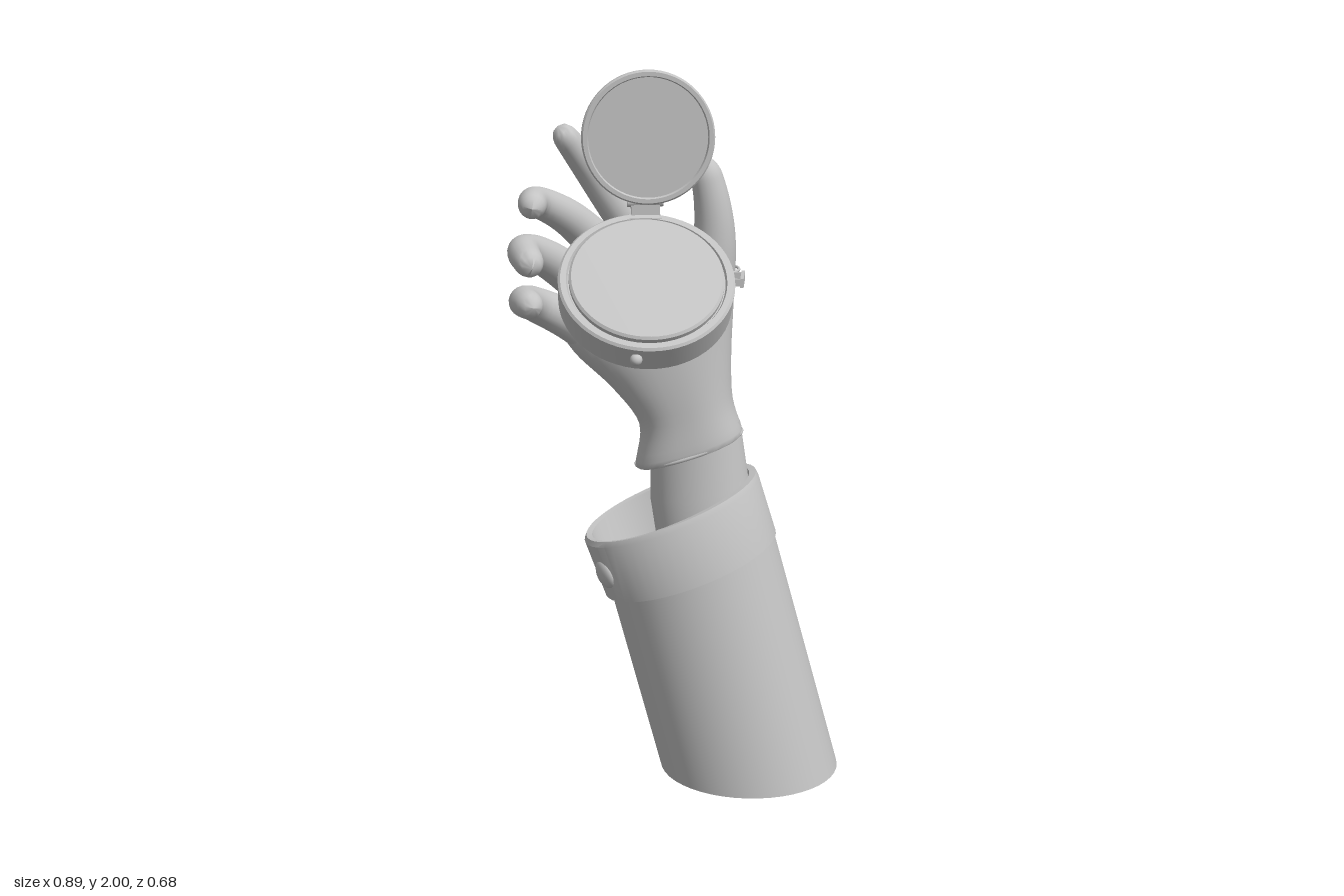
import * as THREE from 'three';
import { toCreasedNormals } from 'three/addons/utils/BufferGeometryUtils.js';

const V = (x, y, z) => new THREE.Vector3(x, y, z);

// Skin of oval rings; each section is [left point, right point, half depth in z].
// A power below 1 makes the ovals boxier.
function loft(sections, { steps = 1, sides = 48, crease = 0.6, power = 1 } = {}) {
  const line = (pts) => new THREE.CatmullRomCurve3(pts, false, 'catmullrom', 0.5);
  const left = line(sections.map((s) => V(...s[0])));
  const right = line(sections.map((s) => V(...s[1])));
  const depth = line(sections.map((s) => V(s[2], 0, 0)));
  const shape = (v) => Math.sign(v) * Math.abs(v) ** power;
  const rings = (sections.length - 1) * steps;
  const pos = [], idx = [];
  for (let i = 0; i <= rings; i++) {
    const t = i / rings;
    const l = left.getPoint(t), r = right.getPoint(t), d = depth.getPoint(t).x;
    const c = l.clone().add(r).multiplyScalar(0.5);
    const h = r.clone().sub(l).multiplyScalar(0.5);
    for (let j = 0; j < sides; j++) {
      const a = (j / sides) * Math.PI * 2;
      const p = c.clone().addScaledVector(h, shape(Math.cos(a)));
      pos.push(p.x, p.y, p.z + d * shape(Math.sin(a)));
      if (i < rings) {
        const k = i * sides + j, n = i * sides + ((j + 1) % sides);
        idx.push(k, k + sides, n, n, k + sides, n + sides);
      }
    }
  }
  const g = new THREE.BufferGeometry();
  g.setAttribute('position', new THREE.Float32BufferAttribute(pos, 3));
  g.setIndex(idx);
  return toCreasedNormals(g, crease);
}

// Tapered tube, rounded at both ends.
function fingerGeometry(points, r0, r1) {
  const curve = new THREE.CatmullRomCurve3(points.map((p) => V(...p)));
  const rings = 48, sides = 20;
  const g = new THREE.TubeGeometry(curve, rings, 1, sides);
  const p = g.attributes.position;
  const tip = (r1 * 1.5) / curve.getLength(), root = 0.3;
  for (let i = 0; i <= rings; i++) {
    const t = i / rings, c = curve.getPointAt(t);
    const u = Math.max(0, 1 - t / root, 1 - (1 - t) / tip);
    const r = THREE.MathUtils.lerp(r0, r1, t) * Math.sqrt(Math.max(0.0001, 1 - u * u));
    for (let j = 0; j <= sides; j++) {
      const k = i * (sides + 1) + j;
      const q = V(p.getX(k), p.getY(k), p.getZ(k)).sub(c).multiplyScalar(r).add(c);
      p.setXYZ(k, q.x, q.y, q.z);
    }
  }
  return toCreasedNormals(g, 1.2);
}

const lathe = (pts) =>
  toCreasedNormals(new THREE.LatheGeometry(pts.map((p) => new THREE.Vector2(...p)), 64), 0.5);

export function createModel() {
  const model = new THREE.Group();
  const grey = new THREE.MeshStandardMaterial({ color: 0xc4c4c4 });
  grey.name = 'plain grey';
  const add = (name, geometry, parent = model) => {
    const m = new THREE.Mesh(geometry, grey);
    m.name = name;
    parent.add(m);
    return m;
  };

  // Hollow sleeve: up the outside, over the rim, down the inside
  const z = -0.105;
  add('sleeve', loft([
    [[-0.04, 0, z], [0.412, 0, z], 0.203],
    [[-0.07, 0, z], [0.442, 0, z], 0.231],
    [[-0.213, 0.55, z], [0.246, 0.72, z], 0.228],
    [[-0.185, 0.55, z], [0.215, 0.72, z], 0.203],
    [[-0.04, 0, z], [0.412, 0, z], 0.203],
  ]));
  add('cuff', loft([
    [[-0.2, 0.535, z], [0.235, 0.705, z], 0.215],
    [[-0.226, 0.528, z], [0.255, 0.708, z], 0.232],
    [[-0.283, 0.685, z], [0.205, 0.872, z], 0.229],
    [[-0.278, 0.7, z], [0.197, 0.888, z], 0.222],
    [[-0.262, 0.7, z], [0.178, 0.883, z], 0.204],
    [[-0.195, 0.535, z], [0.222, 0.705, z], 0.204],
  ]));
  const button = add('cuffButton', new THREE.SphereGeometry(0.042, 24, 16));
  button.position.set(-0.213, 0.62, 0.015);
  button.scale.z = 0.45;
  button.lookAt(-1.02, 0.42, 0.62);

  // Forearm, reaching down to the mouth of the sleeve
  add('forearm', loft([
    [[0.155, 0.008, -0.1], [0.156, 0.008, -0.1], 0.001],
    [[0.05, 0.012, -0.1], [0.26, 0.012, -0.1], 0.1],
    [[0.023, 0.03, -0.1], [0.283, 0.03, -0.1], 0.122],
    [[0.012, 0.07, -0.1], [0.28, 0.07, -0.1], 0.126],
    [[-0.1, 0.8, -0.137], [0.175, 0.86, -0.137], 0.11],
    [[-0.1, 0.95, -0.137], [0.15, 1.03, -0.137], 0.107],
  ], { crease: 0.9 }));

  // Gloved palm, flaring from the wrist to the knuckles
  add('glovePalm', loft([
    [[-0.1, 0.93, -0.137], [0.13, 1.01, -0.137], 0.1],
    [[-0.14, 0.895, -0.137], [0.157, 0.995, -0.137], 0.118],
    [[-0.128, 1.02, -0.125], [0.13, 1.09, -0.128], 0.108],
    [[-0.2, 1.13, -0.1], [0.125, 1.22, -0.125], 0.103],
    [[-0.3, 1.24, -0.06], [0.13, 1.36, -0.125], 0.097],
    [[-0.335, 1.33, -0.04], [0.133, 1.49, -0.115], 0.084],
    [[-0.29, 1.42, -0.06], [0.1, 1.565, -0.105], 0.056],
    [[-0.17, 1.49, -0.1], [-0.01, 1.555, -0.105], 0.005],
  ], { steps: 5, crease: 1.2, power: 0.86 }));
  const rim = new THREE.CatmullRomCurve3(Array.from({ length: 24 }, (_, i) => {
    const a = (i / 24) * Math.PI * 2;
    return V(0.008 + 0.147 * Math.cos(a), 0.947 + 0.05 * Math.cos(a), -0.137 + 0.117 * Math.sin(a));
  }), true);
  add('gloveHem', new THREE.TubeGeometry(rim, 64, 0.005, 8, true));

  // Fingers curling forward around the case
  const fingers = {
    thumb: [[[0.03, 1.22, -0.125], [0.062, 1.4, -0.12], [0.078, 1.54, -0.108], [0.072, 1.64, -0.1], [0.045, 1.765, -0.095]], 0.085, 0.038],
    indexFinger: [[[0.0, 1.33, -0.13], [-0.1, 1.5, -0.135], [-0.225, 1.69, -0.085], [-0.325, 1.855, 0.005]], 0.077, 0.031],
    middleFinger: [[[-0.06, 1.29, -0.12], [-0.18, 1.46, -0.11], [-0.3, 1.61, -0.015], [-0.375, 1.67, 0.08], [-0.37, 1.67, 0.185]], 0.074, 0.034],
    ringFinger: [[[-0.1, 1.23, -0.11], [-0.24, 1.39, -0.07], [-0.355, 1.51, 0.03], [-0.4, 1.55, 0.13], [-0.36, 1.535, 0.27]], 0.072, 0.036],
    littleFinger: [[[-0.14, 1.18, -0.09], [-0.28, 1.31, -0.045], [-0.385, 1.385, 0.03], [-0.405, 1.415, 0.12], [-0.365, 1.42, 0.215]], 0.068, 0.035],
    knuckleRidge: [[[-0.05, 1.4, -0.14], [-0.085, 1.51, -0.12], [-0.1, 1.57, -0.05]], 0.065, 0.045],
  };
  for (const [name, [points, r0, r1]] of Object.entries(fingers)) {
    add(name, fingerGeometry(points, r0, r1));
  }

  // Round case, tipped towards the front
  const box = new THREE.Group();
  box.name = 'roundCase';
  box.position.set(-0.085, 1.46, 0.14);
  box.rotation.set(0.66, 0.16, 0, 'YXZ');
  model.add(box);
  add('caseBody', lathe([
    [0, -0.086], [0.09, -0.081], [0.17, -0.07], [0.215, -0.055], [0.226, -0.046],
    [0.228, 0.03], [0.222, 0.036], [0.207, 0.036], [0.203, 0.028], [0, 0.028],
  ]), box);
  add('caseFace', lathe([[0.2, 0.02], [0.2, 0.04], [0.194, 0.046], [0, 0.049]]), box);
  add('caseCatch', new THREE.SphereGeometry(0.016, 16, 12), box).position.set(-0.04, 0, 0.23);

  // Upright lid with a raised rim on both sides
  const lid = new THREE.Group();
  lid.name = 'lid';
  lid.position.set(-0.09, 1.826, -0.005);
  lid.rotation.set(Math.PI / 2, 0.16, 0, 'YXZ');
  model.add(lid);
  add('lidPlate', lathe([
    [0, -0.016], [0.08, -0.014], [0.155, -0.007], [0.158, -0.011], [0.17, -0.011], [0.174, -0.006],
    [0.174, 0.008], [0.17, 0.012], [0.159, 0.012], [0.156, 0.005], [0, 0.005],
  ]), lid);

  // Hinge joining lid and case
  const hinge = new THREE.Group();
  hinge.name = 'hinge';
  hinge.position.set(-0.1, 1.635, -0.02);
  hinge.rotation.y = 0.16;
  model.add(hinge);
  add('hingeLeaf', new THREE.BoxGeometry(0.075, 0.07, 0.02), hinge);
  add('hingePin', new THREE.CylinderGeometry(0.012, 0.012, 0.095, 16).rotateZ(Math.PI / 2), hinge).position.y = 0.02;
  add('hingeFoot', new THREE.BoxGeometry(0.085, 0.022, 0.06), hinge).position.set(0, -0.03, -0.01);

  // Buckle on the side of the case and the thin band round the thumb
  const buckle = new THREE.Group();
  buckle.name = 'buckle';
  buckle.position.set(0.138, 1.46, 0.015);
  model.add(buckle);
  for (const s of [-1, 1]) {
    add('buckleSide', new THREE.BoxGeometry(0.009, 0.024, 0.1), buckle).position.x = s * 0.021;
    add('buckleBar', new THREE.BoxGeometry(0.05, 0.018, 0.01), buckle).position.z = s * 0.042;
  }
  const band = add('thumbBand', new THREE.TorusGeometry(0.075, 0.004, 8, 48).rotateX(Math.PI / 2));
  band.position.set(0.07, 1.462, -0.095);

  return model;
}
